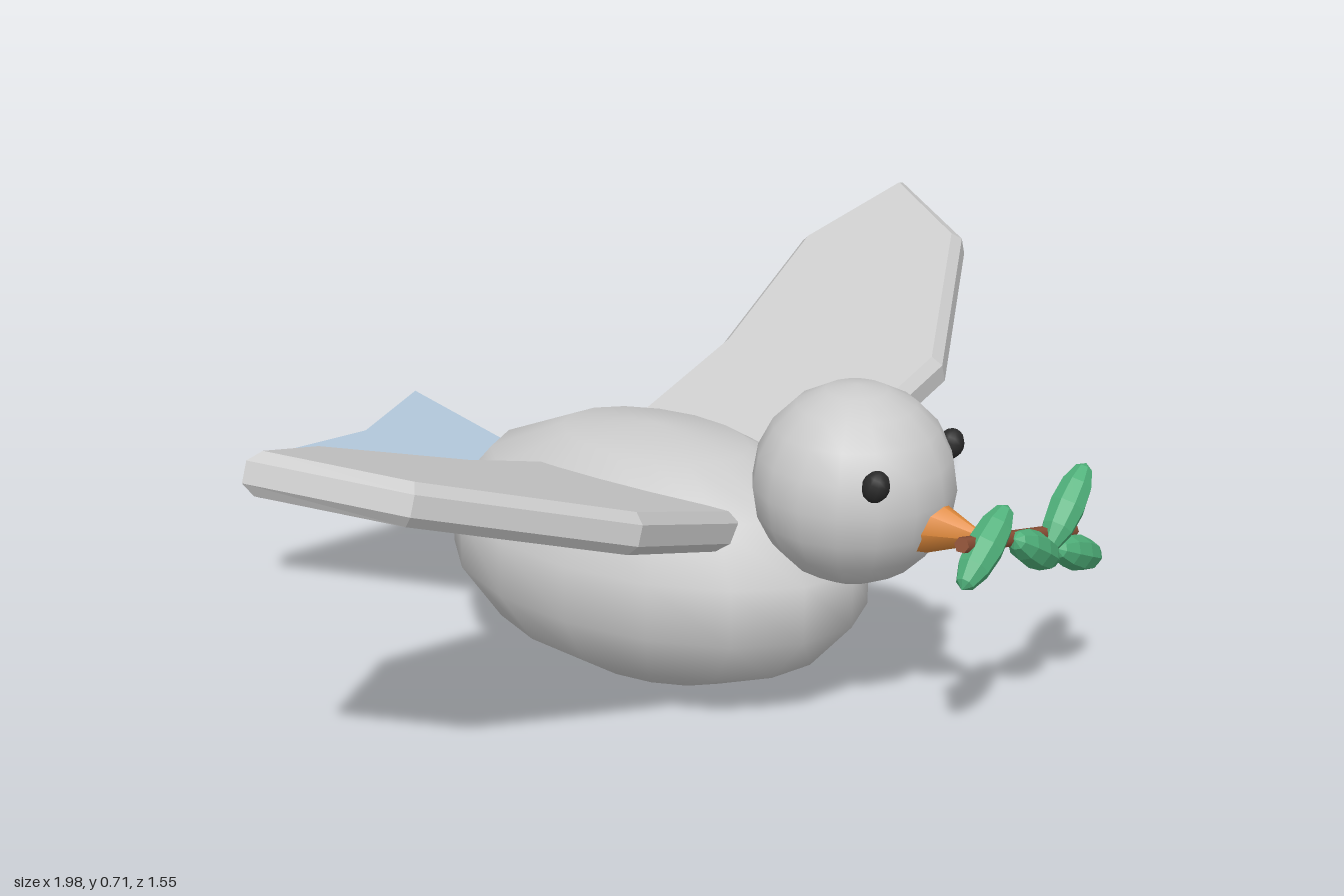
import * as THREE from 'three';

const paint = (color, flatShading = false) => new THREE.MeshStandardMaterial({ color, flatShading });

const grey = paint(0xcccccc);
const greyFlat = paint(0xcccccc, true);
const blue = paint(0xb2c7da, true);
const black = paint(0x2a2a2a);
const orange = paint(0xe08a3c);
const brown = paint(0x8f5238);
const green = paint(0x4fb07a, true);

function add(parent, name, geometry, material, x = 0, y = 0, z = 0) {
  const mesh = new THREE.Mesh(geometry, material);
  mesh.name = name;
  mesh.position.set(x, y, z);
  parent.add(mesh);
  return mesh;
}

// Horizontal bevelled slab from an [x, z] outline, centred on y = 0
function slab(points, thickness, bevel) {
  const shape = new THREE.Shape(points.map(([x, z]) => new THREE.Vector2(x, -z)));
  const geometry = new THREE.ExtrudeGeometry(shape, {
    depth: thickness - 2 * bevel,
    bevelThickness: bevel,
    bevelSize: bevel,
    bevelOffset: -bevel,
    bevelSegments: 1,
  });
  return geometry.translate(0, 0, bevel - thickness / 2).rotateX(-Math.PI / 2);
}

export function createModel() {
  const bird = new THREE.Group();
  bird.name = 'bird';

  // Egg-shaped body and round head
  add(bird, 'body', new THREE.SphereGeometry(1, 16, 7).scale(0.287, 0.242, 0.44), grey, 0, 0.25, 0.02);
  add(bird, 'head', new THREE.SphereGeometry(0.18, 16, 10), grey, 0, 0.475, 0.445);

  // Beak
  const beak = new THREE.ConeGeometry(0.06, 0.15, 8).rotateX(Math.PI / 2);
  add(bird, 'beak', beak, orange, 0, 0.43, 0.65);

  // Forked tail
  const tailOutline = [[0.11, -0.36], [0.25, -0.775], [0, -0.705], [-0.25, -0.775], [-0.11, -0.36]];
  add(bird, 'tail', slab(tailOutline, 0.085, 0.015), blue, 0, 0.277, 0);

  // Raised wings and eyes, mirrored
  const wingOutline = [
    [-0.02, -0.15], [0.28, -0.11], [0.64, -0.145], [0.89, -0.05],
    [0.745, 0.17], [0.36, 0.34], [-0.02, 0.29],
  ];
  for (const [side, s] of [['left', 1], ['right', -1]]) {
    const outline = wingOutline.map(([u, z]) => [s * u, z]);
    const wing = add(bird, side + 'Wing', slab(outline, 0.072, 0.018), greyFlat, s * 0.15, 0.39, 0);
    wing.rotation.z = s * THREE.MathUtils.degToRad(20);

    const eye = add(bird, side + 'Eye', new THREE.SphereGeometry(0.024, 10, 8), black, s * 0.125, 0.533, 0.563);
    eye.scale.y = 1.2;
    eye.rotation.x = 0.3;
  }

  // Leafy twig held in the beak
  const twig = new THREE.Group();
  twig.name = 'twig';
  bird.add(twig);
  const stem = add(twig, 'stem', new THREE.CylinderGeometry(0.014, 0.014, 0.42, 6), brown, 0.087, 0.409, 0.725);
  stem.rotation.z = Math.PI / 2 - 0.267;

  const leaves = [[-0.06, 0.445, 35], [0.12, 0.378, -31], [0.235, 0.42, 43], [0.285, 0.315, -24]];
  leaves.forEach(([x, y, angle], i) => {
    const shape = new THREE.SphereGeometry(1, 8, 6).scale(0.033, 0.09, 0.033);
    const leaf = add(twig, 'leaf' + (i + 1), shape, green, x, y, 0.739);
    leaf.rotation.z = THREE.MathUtils.degToRad(angle - 90);
  });

  return bird;
}
